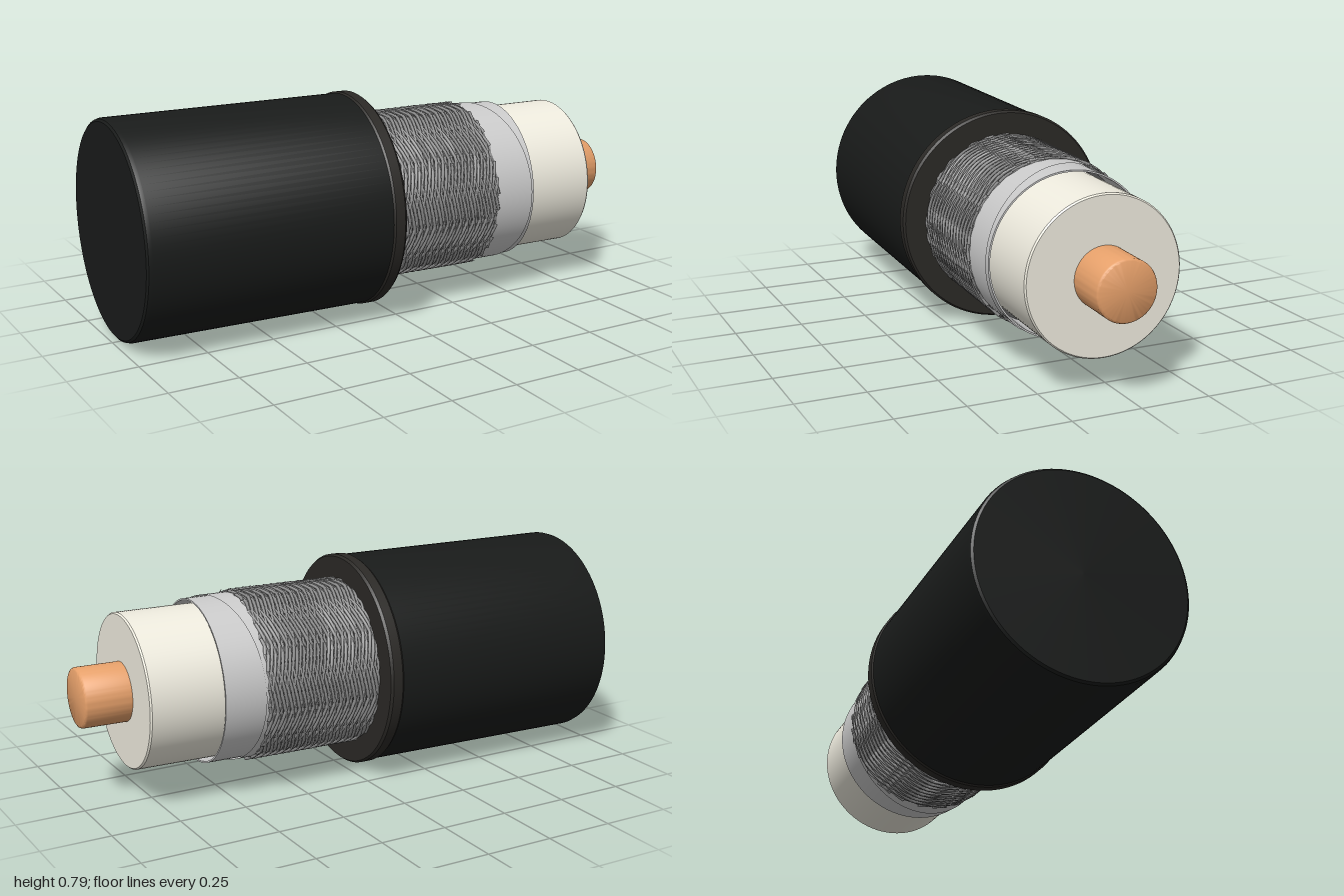
import * as THREE from 'three';
import { toCreasedNormals, mergeGeometries } from 'three/addons/utils/BufferGeometryUtils.js';

// Everything is turned around local y, which becomes the cable axis.
const mat = (color, side = THREE.FrontSide) => new THREE.MeshStandardMaterial({ color, side });

function turned(name, color, profile, side) {
  const points = profile.map(([r, s]) => new THREE.Vector2(r, s));
  const geometry = toCreasedNormals(new THREE.LatheGeometry(points, 96), 0.6);
  const mesh = new THREE.Mesh(geometry, mat(color, side));
  mesh.name = name;
  return mesh;
}

// Woven shield: two opposing sets of helical wire pairs in a two-over, two-under weave
function braid(start, end) {
  const carriers = 16, radius = 0.303, lift = 0.004, wire = 0.006, steps = 96;
  const wires = [];
  for (const dir of [1, -1]) {
    for (let i = 0; i < carriers; i++) {
      for (const shift of [-0.25, 0.25]) {
        const points = [];
        for (let k = 0; k <= steps; k++) {
          const t = k / steps;
          const angle = dir * 2 * Math.PI * t + (2 * Math.PI * (i + shift)) / carriers;
          const crossing = 2 * i + dir * 2 * carriers * t;
          const r = radius + dir * lift * Math.cos((Math.PI / 2) * crossing);
          points.push(new THREE.Vector3(r * Math.sin(angle), start + (end - start) * t, r * Math.cos(angle)));
        }
        wires.push(new THREE.TubeGeometry(new THREE.CatmullRomCurve3(points), steps, wire, 5));
      }
    }
  }
  const mesh = new THREE.Mesh(mergeGeometries(wires), mat(0x909090));
  mesh.name = 'braidedShield';
  return mesh;
}

// Outer foil wrap with a slanted front edge
function foilOverlap() {
  const r = 0.302, base = 0.36;
  const geometry = new THREE.CylinderGeometry(r, r, 1, 96, 1, true);
  const p = geometry.attributes.position;
  for (let i = 0; i < p.count; i++) {
    p.setY(i, p.getY(i) > 0 ? 0.48 + (0.07 * p.getZ(i)) / r : base);
  }
  const mesh = new THREE.Mesh(geometry, mat(0xd6d6d4, THREE.DoubleSide));
  mesh.name = 'foilOverlap';
  return mesh;
}

export function createModel() {
  const model = new THREE.Group();
  model.name = 'cable';
  const axis = new THREE.Group();
  axis.name = 'cableLayers';

  // Outer sheath and its cut rim
  axis.add(turned('outerJacket', 0x191b1a, [
    [0, -0.984], [0.378, -0.984], [0.386, -0.978], [0.39, -0.965], [0.39, -0.07], [0.3, -0.07],
  ]));
  axis.add(turned('jacketRim', 0x2b2926, [
    [0.3, -0.085], [0.39, -0.085], [0.395, -0.078], [0.395, -0.042], [0.388, -0.033], [0.3, -0.033],
  ]));

  // Shield with a dark sleeve between the strands
  axis.add(turned('shieldSleeve', 0x555555, [[0.3, -0.06], [0.3, 0.396], [0.279, 0.396]]));
  axis.add(braid(-0.04, 0.4));

  // Foil, a thin open tube
  axis.add(turned('foil', 0xd6d6d4, [
    [0.297, 0.36], [0.297, 0.56], [0.291, 0.56], [0.291, 0.36],
  ], THREE.DoubleSide));
  axis.add(foilOverlap());

  // Insulation and conductor
  axis.add(turned('insulation', 0xefecdf, [
    [0.278, 0.3], [0.278, 0.819], [0.273, 0.825], [0, 0.825],
  ]));
  axis.add(turned('copperCore', 0xe6a06a, [
    [0.107, 0.8], [0.107, 0.984], [0.104, 0.99], [0.099, 0.993], [0, 0.993],
  ]));

  // Lay the axis along x with a slight turn towards the front
  axis.rotation.set(0, -0.0412, -Math.PI / 2);
  axis.position.set(0, 0.397, 0.015);
  model.add(axis);
  return model;
}
